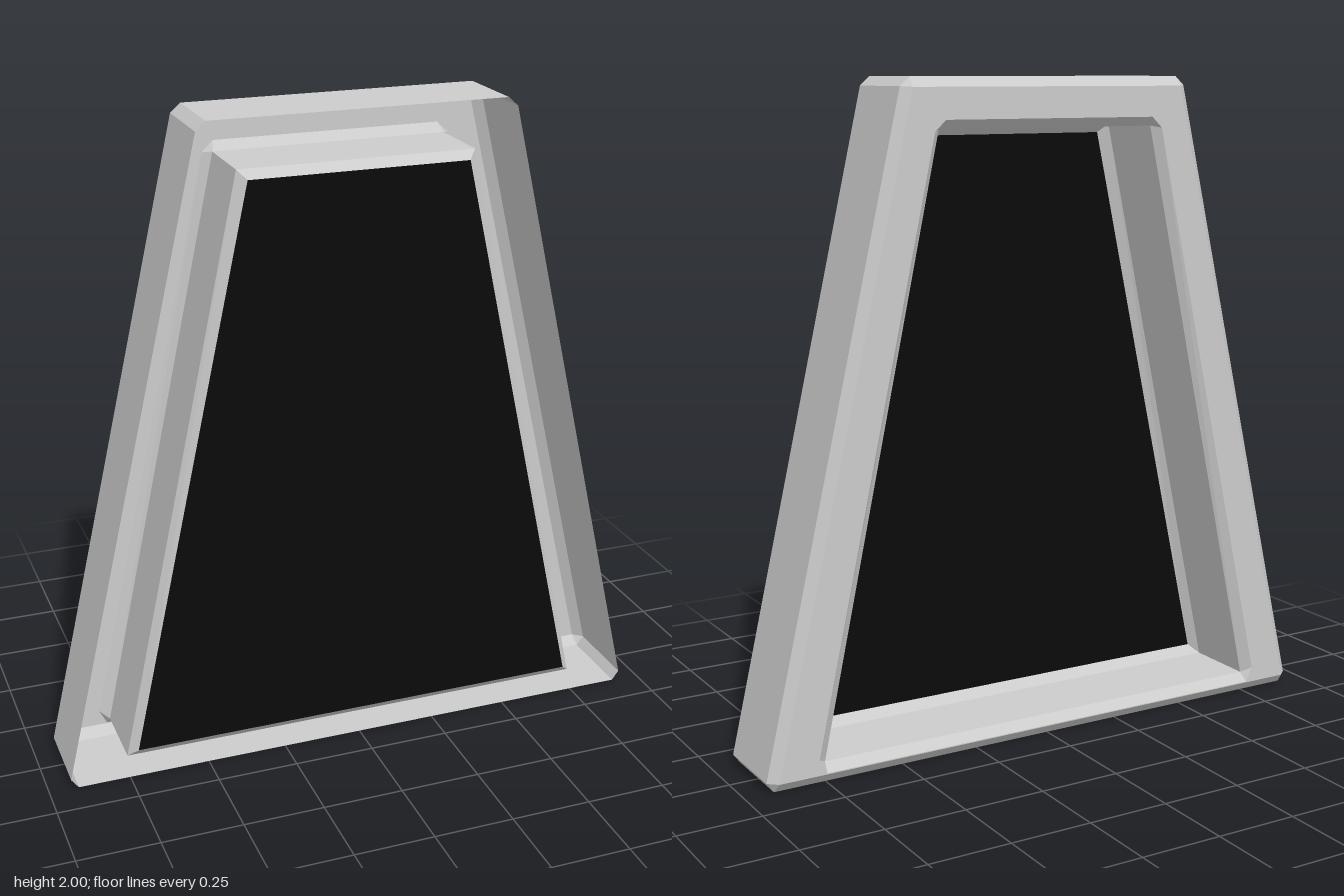
import * as THREE from 'three';

// Symmetric trapezoid loop at depth z: right half listed bottom to top, then mirrored.
function loop(z, right) {
  const left = right.map(([x, y]) => [-x, y]).reverse();
  return [...right, ...left].map(([x, y]) => new THREE.Vector3(x, y, z));
}

// Sharp-cornered loop; each corner is doubled to pair with a chamfered loop.
function sharpLoop(z, [bx, by], [tx, ty]) {
  return loop(z, [[bx, by], [bx, by], [tx, ty], [tx, ty]]);
}

// Flat-faced skin through successive loops, leaving out collapsed triangles.
function loft(loops) {
  const pos = [];
  const tri = new THREE.Triangle();
  const add = (a, b, c) => {
    tri.set(a, b, c);
    if (tri.getArea() > 1e-7) pos.push(...a, ...b, ...c);
  };
  for (let k = 0; k < loops.length - 1; k++) {
    const a = loops[k], b = loops[k + 1];
    for (let i = 0; i < a.length; i++) {
      const j = (i + 1) % a.length;
      add(a[i], b[i], b[j]);
      add(a[i], b[j], a[j]);
    }
  }
  const g = new THREE.BufferGeometry();
  g.setAttribute('position', new THREE.Float32BufferAttribute(pos, 3));
  g.computeVertexNormals();
  return g;
}

export function createModel() {
  const group = new THREE.Group();
  const grey = new THREE.MeshStandardMaterial({ color: 0xcccccc, side: THREE.DoubleSide, flatShading: true });
  const black = new THREE.MeshStandardMaterial({ color: 0x0a0a0a, side: THREE.DoubleSide });
  const part = (name, geometry, material) => {
    const mesh = new THREE.Mesh(geometry, material);
    mesh.name = name;
    group.add(mesh);
  };

  const front = 0.14, back = -0.14, bevel = 0.026;
  const outer = [[0.91, 0], [0.932, 0.03], [0.48, 1.973], [0.45, 2]];
  const hole = [[0.755, 0.033], [0.778, 0.078], [0.385, 1.847], [0.35, 1.88]];
  const ringOuter = sharpLoop(back, [0.903, 0.03], [0.452, 1.971]);
  const ringInner = loop(back, hole);
  const panelBottom = [0.72, 0.088], panelTop = [0.335, 1.827];
  const wallBottom = [0.75, 0.06], wallTop = [0.36, 1.853];

  // Outer wall with its rear bevel, open at the front
  part('outerWall', loft([loop(front, outer), loop(back + bevel, outer), ringOuter]), grey);

  // Flat ring at the back
  part('backRing', loft([ringOuter, ringInner]), grey);

  // Inner wall with bevels at both ends, running forward to the panel
  part('innerWall', loft([
    ringInner,
    sharpLoop(back + bevel, wallBottom, wallTop),
    sharpLoop(front - bevel, wallBottom, wallTop),
    sharpLoop(front, panelBottom, panelTop),
  ]), grey);

  // Dark panel closing the front of the inner wall
  const [bx, by] = panelBottom, [tx, ty] = panelTop;
  const shape = new THREE.Shape([[bx, by], [tx, ty], [-tx, ty], [-bx, by]].map((p) => new THREE.Vector2(...p)));
  part('panel', new THREE.ShapeGeometry(shape).translate(0, 0, front), black);

  return group;
}
